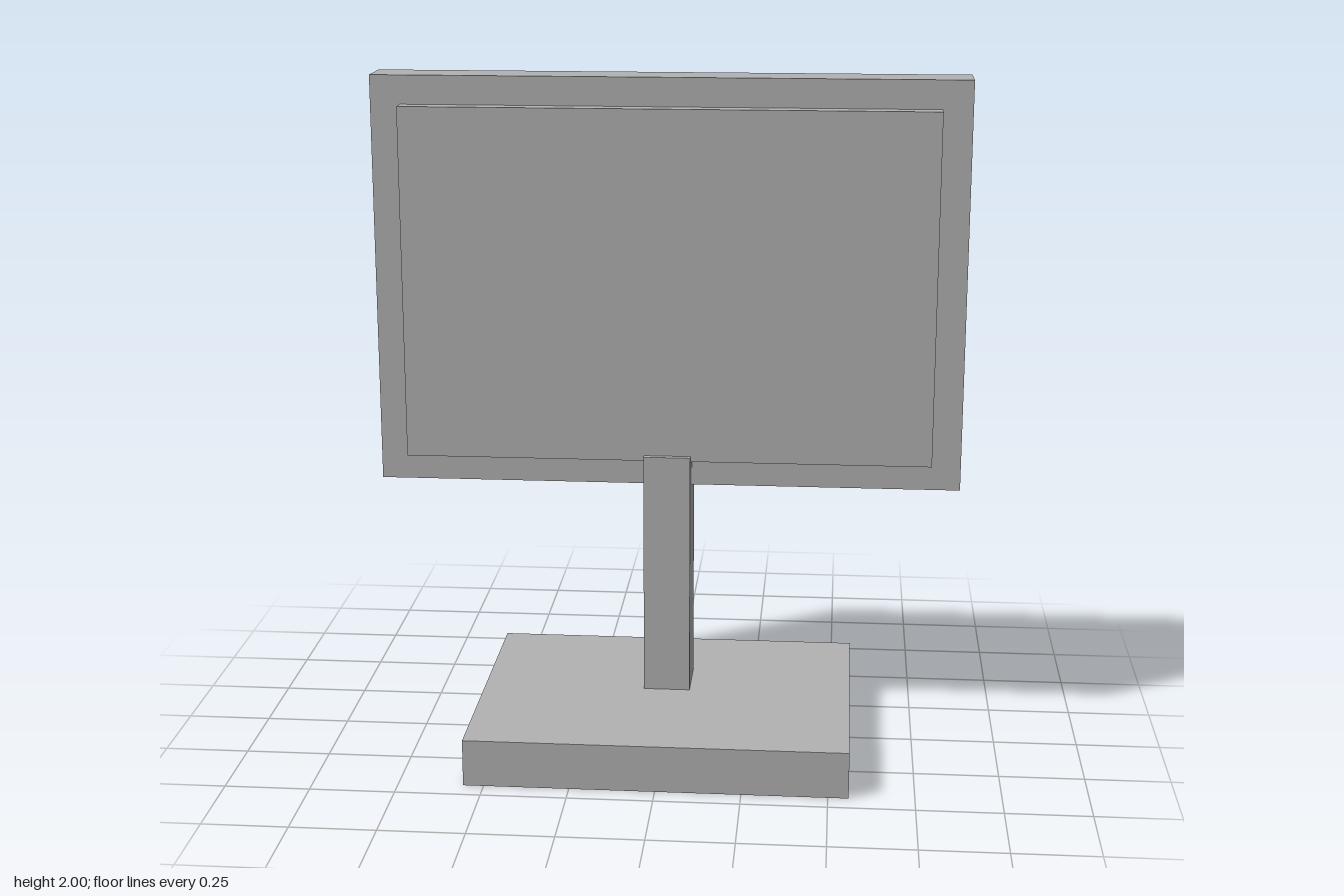
import * as THREE from 'three';

export function createModel() {
  const model = new THREE.Group();
  model.name = 'monitor';

  const grey = new THREE.MeshStandardMaterial({ color: 0xb2b2b2 });
  grey.name = 'grey';

  // Box given by its extents along each axis
  function addBox(name, [x0, x1], [y0, y1], [z0, z1]) {
    const mesh = new THREE.Mesh(new THREE.BoxGeometry(x1 - x0, y1 - y0, z1 - z0), grey);
    mesh.position.set((x0 + x1) / 2, (y0 + y1) / 2, (z0 + z1) / 2);
    mesh.name = name;
    model.add(mesh);
  }

  // Foot slab and the post that rises into the panel
  addBox('base', [-0.56, 0.56], [0, 0.14], [-0.4375, 0.4375]);
  addBox('post', [-0.07, 0.07], [0.14, 0.88], [-0.173, 0]);

  // Rear housing with the raised screen on its front
  addBox('housing', [-0.875, 0.875], [0.778, 2], [-0.208, -0.07]);
  addBox('screen', [-0.787, 0.787], [0.864, 1.915], [-0.07, -0.0175]);

  return model;
}
